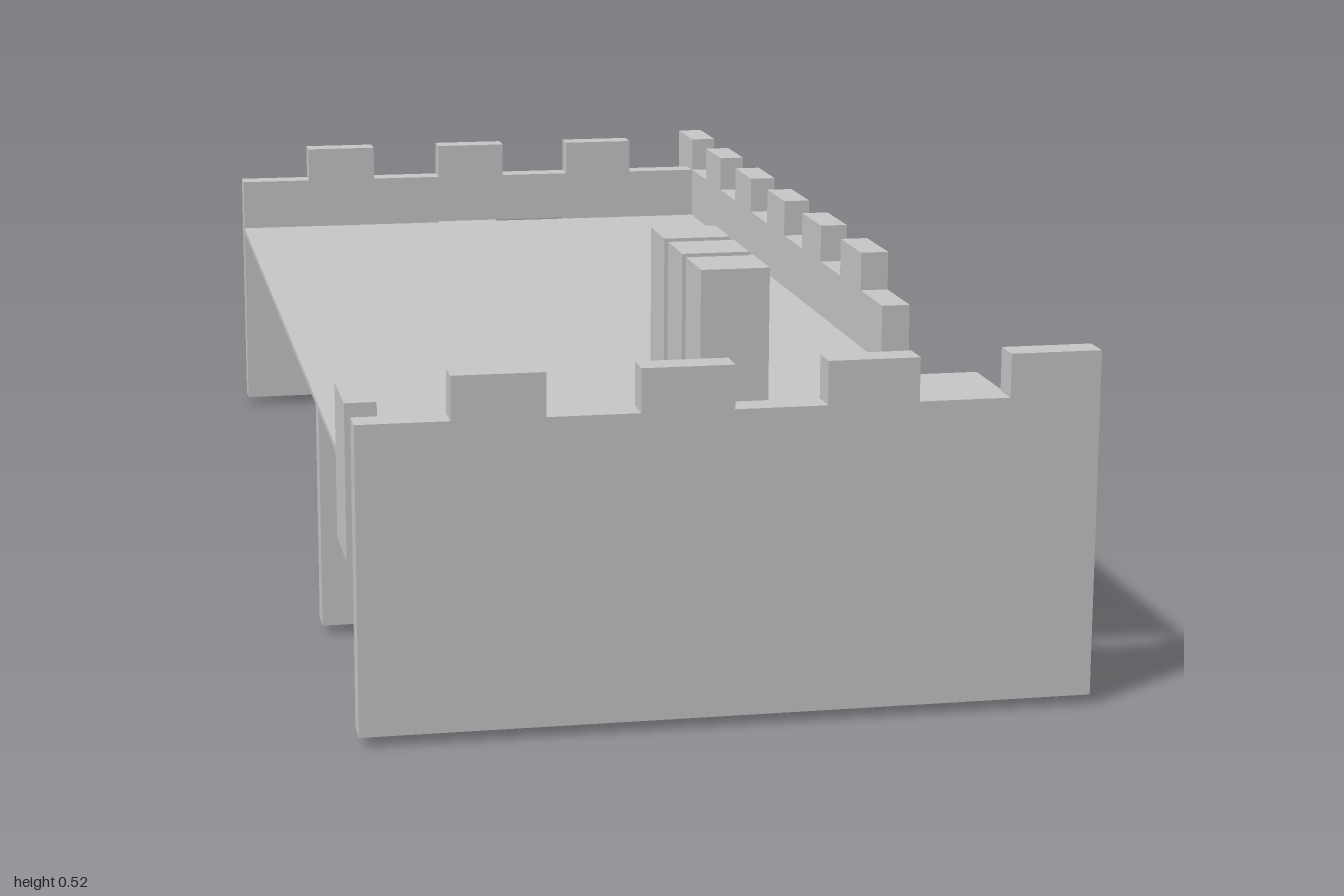
import * as THREE from 'three';

const CELL = 0.115; // board square that everything is laid out on
const T = 0.04; // wall thickness
const BASE = 0.013, WALL = 0.4, MERLON = 0.455, FLOOR = 0.315;

export function createModel() {
  const model = new THREE.Group();
  const stone = new THREE.MeshStandardMaterial({ color: 0xc8c8c8 });
  stone.name = 'stone grey';

  // Box given by its limits on each axis
  function box(name, x0, x1, y0, y1, z0, z1, parent = model) {
    const m = new THREE.Mesh(new THREE.BoxGeometry(x1 - x0, y1 - y0, z1 - z0), stone);
    m.position.set((x0 + x1) / 2, (y0 + y1) / 2, (z0 + z1) / 2);
    m.name = name;
    parent.add(m);
    return m;
  }

  // Wall outline with a merlon on every second cell and an optional doorway
  function battlement(name, cells, door) {
    const s = new THREE.Shape();
    s.moveTo(0, BASE);
    if (door) {
      s.lineTo(door[0], BASE);
      s.lineTo(door[0], door[2]);
      s.lineTo(door[1], door[2]);
      s.lineTo(door[1], BASE);
    }
    s.lineTo(cells * CELL, BASE);
    for (let i = cells - 1; i >= 0; i--) {
      const top = i % 2 ? MERLON : WALL;
      s.lineTo((i + 1) * CELL, top);
      s.lineTo(i * CELL, top);
    }
    s.closePath();
    const m = new THREE.Mesh(new THREE.ExtrudeGeometry(s, { depth: T, bevelEnabled: false }), stone);
    m.name = name;
    model.add(m);
    return m;
  }

  // Battlemented walls
  battlement('frontWall', 8).position.set(-0.46, 0, 0.96);
  battlement('backWall', 7, [3 * CELL, 5 * CELL, 0.32]).position.set(-0.46, 0, -0.885);
  const side = battlement('sideWall', 12);
  side.rotation.y = Math.PI / 2;
  side.position.set(0.345, 0, 0.42);

  // Plain cross wall under the roof
  box('crossWall', -0.46, 0.46, BASE, 0.31, 0.5, 0.54);

  // Roof plate, wider at the front
  const plate = new THREE.Shape();
  [[-0.46, 0.845], [-0.46, -0.885], [0.46, -0.885], [0.46, -0.5], [0.345, -0.5], [0.345, 0.845]]
    .forEach(([x, y], i) => (i ? plate.lineTo(x, y) : plate.moveTo(x, y)));
  const roof = new THREE.Mesh(new THREE.ExtrudeGeometry(plate, { depth: 0.008, bevelEnabled: false }), stone);
  roof.rotation.x = -Math.PI / 2;
  roof.position.y = 0.31;
  roof.name = 'roofPlate';
  model.add(roof);

  // Pillars and flat tile on the roof
  for (let i = 0; i < 3; i++) {
    const z = 0.482 + i * CELL;
    box('roofPillar', 0.01, 0.1, FLOOR, 0.525, z - 0.045, z + 0.045);
  }
  box('roofTile', -0.22, -0.13, FLOOR, 0.333, 0.665, 0.755);

  // Small pieces on the edges
  box('edgePost', -0.46, -0.42, 0.2, 0.4, 0.77, 0.885);
  box('doorLedge', -0.115, 0, 0.288, 0.305, -0.963, -0.885);
  box('doorStep', -0.23, -0.115, BASE, 0.028, -1, -0.96);

  // Tiled ground slabs, each with one raised tile in its back left corner
  function tiledSlab(x0, z0, nx, nz) {
    const g = new THREE.Group();
    g.name = 'tiledSlab';
    model.add(g);
    box('slab', x0, x0 + nx * CELL, 0, BASE, z0, z0 + nz * CELL, g);
    for (let i = 0; i < nx; i++) {
      for (let j = 0; j < nz; j++) {
        const raised = i === nx - 1 && j === 0;
        const x = x0 + (i + 0.5) * CELL, z = z0 + (j + 0.5) * CELL;
        box(raised ? 'raisedTile' : 'tile', x - 0.045, x + 0.045, BASE, raised ? 0.078 : 0.03,
          z - 0.045, z + 0.045, g);
      }
    }
  }
  tiledSlab(-0.345, 0.075, 5, 3);
  tiledSlab(-0.115, -0.615, 3, 5);

  return model;
}
